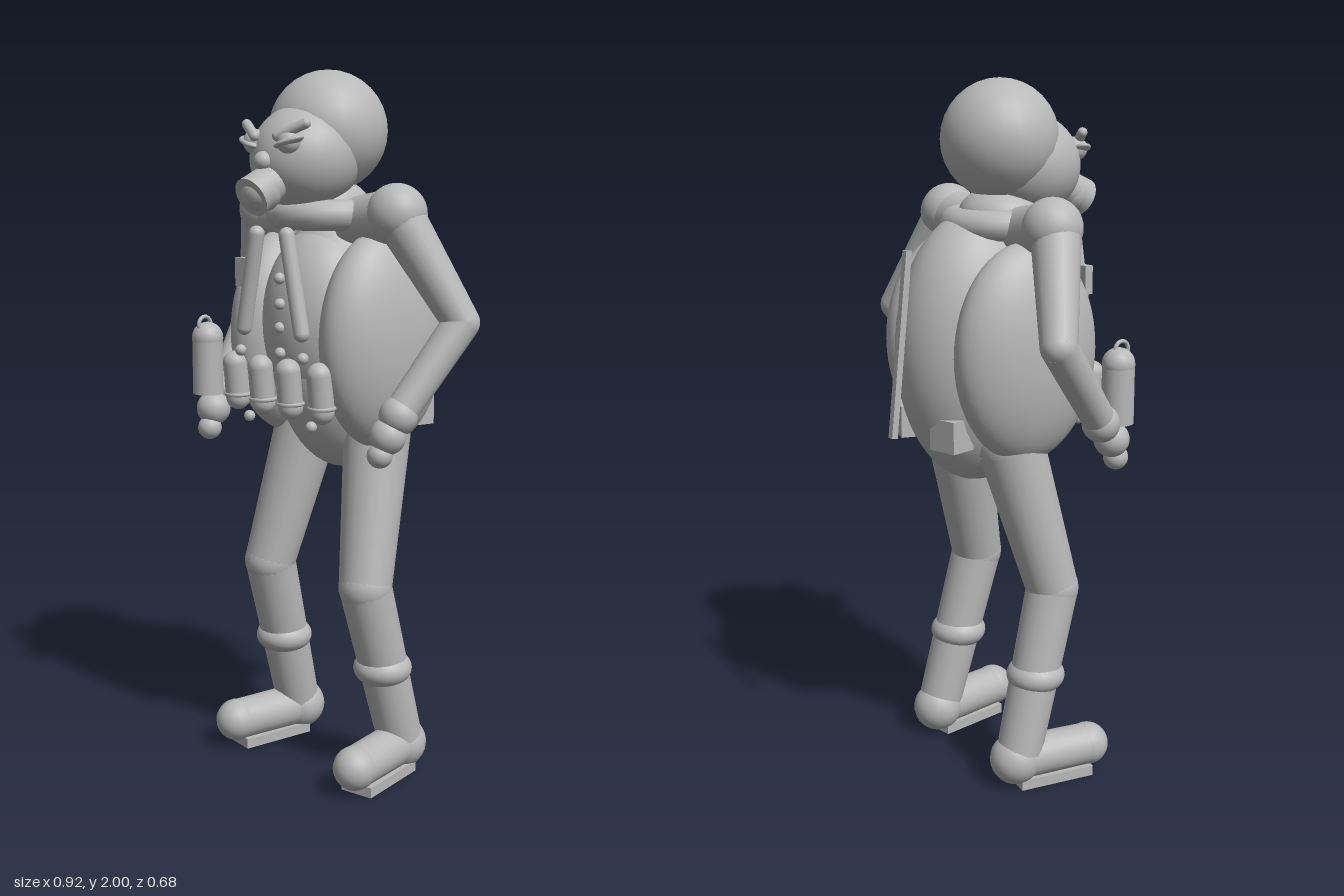
import * as THREE from 'three';

export function createModel() {
  const model = new THREE.Group();
  const grey = new THREE.MeshStandardMaterial({ color: 0xb8b8b8 });
  grey.name = 'plain grey';
  const V = (p) => new THREE.Vector3(...p);

  function add(name, geometry, position = [0, 0, 0], rotation = [0, 0, 0]) {
    const mesh = new THREE.Mesh(geometry, grey);
    mesh.name = name;
    mesh.position.set(...position);
    mesh.rotation.set(...rotation);
    model.add(mesh);
    return mesh;
  }
  const ball = (name, p, r) => add(name, new THREE.SphereGeometry(r, 24, 16), p);
  function ellipsoid(name, p, radii, rotation) {
    const mesh = add(name, new THREE.SphereGeometry(1, 40, 28), p, rotation);
    mesh.scale.set(...radii);
    return mesh;
  }
  // Tapered cylinder running from a to b
  function limb(name, a, b, ra, rb = ra) {
    const dir = V(b).sub(V(a));
    const mesh = add(name, new THREE.CylinderGeometry(rb, ra, dir.length(), 24));
    mesh.position.copy(V(a)).addScaledVector(dir, 0.5);
    mesh.quaternion.setFromUnitVectors(new THREE.Vector3(0, 1, 0), dir.normalize());
    return mesh;
  }
  function capsule(name, a, b, r) {
    limb(name, a, b, r);
    ball(name + 'EndA', a, r);
    ball(name + 'EndB', b, r);
  }

  // Body
  ellipsoid('torso', [0, 1.265, -0.05], [0.19, 0.385, 0.245]);
  ellipsoid('chest', [0, 1.31, 0.04], [0.18, 0.27, 0.172]);
  const collar = add('collar', new THREE.TorusGeometry(0.125, 0.042, 16, 40), [0, 1.61, 0.03], [Math.PI / 2, 0, 0]);
  collar.scale.set(1, 1.05, 1);
  ellipsoid('neck', [0, 1.63, 0.03], [0.12, 0.08, 0.12]);

  // Head and face
  ball('head', [0, 1.835, 0.025], 0.165);
  ellipsoid('face', [0, 1.765, 0.11], [0.148, 0.145, 0.16], [0.25, 0, 0]);
  ball('nose', [0, 1.755, 0.268], 0.026);
  limb('muzzle', [0, 1.7, 0.235], [0, 1.66, 0.312], 0.052, 0.056);
  ball('mouth', [0, 1.675, 0.275], 0.055);

  for (const s of [-1, 1]) {
    ball('eye', [s * 0.066, 1.805, 0.235], 0.034);
    ellipsoid('eyelid', [s * 0.075, 1.805, 0.245], [0.045, 0.012, 0.028], [0, s * 0.3, s * 0.3]);
    capsule('brow', [s * 0.115, 1.852, 0.222], [s * 0.045, 1.82, 0.258], 0.014);

    // Side bulges, shoulders and chest straps
    ellipsoid('sideBulge', [s * 0.18, 1.27, -0.01], [0.117, 0.305, 0.222]);
    limb('yoke', [s * 0.08, 1.59, 0.02], [s * 0.25, 1.61, 0.02], 0.065, 0.075);
    ball('shoulder', [s * 0.255, 1.615, 0.02], 0.083);
    capsule('strap', [s * 0.06, 1.56, 0.24], [s * 0.115, 1.3, 0.24], 0.022);
    ball('strapStud', [s * 0.125, 1.235, 0.245], 0.016);
    ball('beltStud', [s * 0.125, 1.045, 0.215], 0.016);

    // Arms
    const elbow = [s * 0.41, 1.33, -0.07];
    const wrist = s > 0 ? [0.34, 1.09, 0.1] : [-0.35, 1.09, 0.12];
    const palm = s > 0 ? [0.325, 1.035, 0.125] : [-0.335, 1.035, 0.17];
    const tip = s > 0 ? [0.315, 0.985, 0.145] : [-0.33, 0.98, 0.19];
    limb('upperArm', [s * 0.27, 1.6, 0.02], elbow, 0.068, 0.05);
    ball('elbow', elbow, 0.05);
    limb('forearm', elbow, wrist, 0.05, 0.045);
    ball('cuff', wrist, 0.053);
    ball('palm', palm, 0.05);
    ball('fingers', tip, 0.035);

    // Legs
    const hip = [s * 0.14, 1.0, -0.03];
    const knee = [s * 0.197, 0.58, 0.075];
    const ankle = [s * 0.215, 0.11, -0.05];
    ball('hip', hip, 0.095);
    limb('thigh', hip, knee, 0.095, 0.075);
    ball('knee', knee, 0.076);
    limb('shin', knee, ankle, 0.075, 0.066);
    ellipsoid('bootCuff', [s * 0.206, 0.33, 0.012], [0.084, 0.055, 0.084]);

    // Feet
    const heel = [s * 0.212, 0.085, -0.062];
    const toe = [s * 0.25, 0.085, 0.17];
    ball('heel', heel, 0.074);
    limb('foot', heel, toe, 0.062, 0.06);
    ball('toe', toe, 0.062);
    add('sole', new THREE.BoxGeometry(0.1, 0.03, 0.23), [s * 0.231, 0.02, 0.05], [0, s * 0.16, 0]);

    // Back pouches
    add('backPouch', new THREE.BoxGeometry(0.09, 0.09, 0.08), [0.02 + s * 0.11, 1.05, -0.195], [0, s * -0.25, 0]);
  }

  // Buttons and badge
  for (const y of [1.44, 1.37, 1.305, 1.235]) ball('button', [0, y, 0.212], 0.016);
  add('badge', new THREE.BoxGeometry(0.07, 0.08, 0.025), [-0.13, 1.45, 0.215]);

  // Belt pouches
  for (const x of [-0.185, -0.072, 0.042, 0.157]) {
    const z = 0.225 - Math.abs(x) * 0.06;
    capsule('beltPouch', [x, 1.09, z - 0.01], [x, 1.19, z], 0.035);
    add('pouchBand', new THREE.TorusGeometry(0.034, 0.006, 8, 24), [x, 1.1, z - 0.01], [Math.PI / 2, 0, 0]);
  }

  // Flask held in the right hand
  limb('flask', [-0.34, 1.08, 0.185], [-0.34, 1.245, 0.185], 0.045);
  ball('flaskDome', [-0.34, 1.245, 0.185], 0.046);
  add('flaskHandle', new THREE.TorusGeometry(0.022, 0.006, 8, 20), [-0.34, 1.285, 0.195], [0, Math.PI / 2, 0]);

  // Slender bar on the back
  add('backBar', new THREE.BoxGeometry(0.02, 0.515, 0.018), [-0.005, 1.295, -0.305], [0.105, 0, 0]);

  return model;
}
